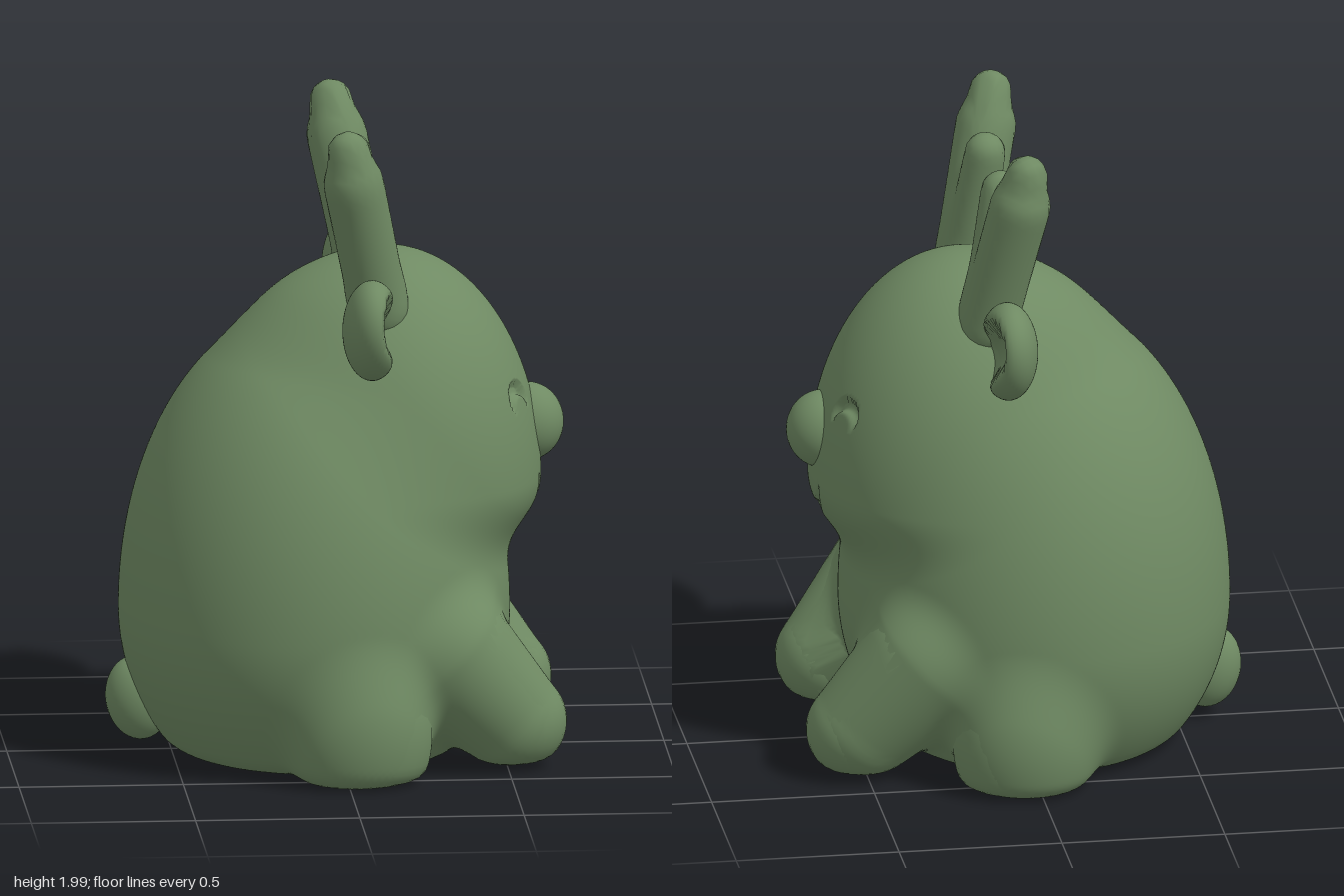
import * as THREE from 'three';
import { mergeVertices } from 'three/addons/utils/BufferGeometryUtils.js';

const V = (x, y, z) => new THREE.Vector3(x, y, z);
const FLOOR = 0.008;

// Distance fields used as modelling rules
function smin(a, b, k) {
  const h = Math.max(k - Math.abs(a - b), 0) / k;
  return Math.min(a, b) - h * h * k / 4;
}
const smax = (a, b, k) => -smin(-a, -b, k);

function ellipsoid(dx, dy, dz, rx, ry, rz) {
  const k0 = Math.hypot(dx / rx, dy / ry, dz / rz);
  const k1 = Math.hypot(dx / rx / rx, dy / ry / ry, dz / rz / rz);
  return k1 < 1e-6 ? -Math.min(rx, ry, rz) : k0 * (k0 - 1) / k1;
}

// Capsule whose radius runs from ra to rb
function limb(p, a, b, ra, rb) {
  const bx = b.x - a.x, by = b.y - a.y, bz = b.z - a.z;
  const px = p.x - a.x, py = p.y - a.y, pz = p.z - a.z;
  const h = THREE.MathUtils.clamp((px * bx + py * by + pz * bz) / (bx * bx + by * by + bz * bz), 0, 1);
  return Math.hypot(px - bx * h, py - by * h, pz - bz * h) - ra - (rb - ra) * h;
}

// Pull the vertices of a sphere onto the field; rings crowd towards the pole by `crowd`
function blob(field, center, segs, rings, pole = V(0, 1, 0), crowd = 0) {
  let g = new THREE.SphereGeometry(1, segs, rings);
  const pos = g.attributes.position, dir = V(0, 0, 0), p = V(0, 0, 0);
  const turn = new THREE.Quaternion().setFromUnitVectors(V(0, 1, 0), pole.clone().normalize());
  for (let i = 0; i < pos.count; i++) {
    dir.fromBufferAttribute(pos, i);
    const t = Math.acos(THREE.MathUtils.clamp(dir.y, -1, 1)) / Math.PI;
    const theta = Math.PI * t * (1 - crowd + crowd * t);
    const az = Math.atan2(dir.z, dir.x);
    dir.set(Math.sin(theta) * Math.cos(az), Math.cos(theta), Math.sin(theta) * Math.sin(az)).applyQuaternion(turn);
    let r = 1.5;
    for (let n = 0; n < 70; n++) {
      const d = field(p.copy(dir).multiplyScalar(r).add(center));
      r -= 0.6 * d;
      if (Math.abs(d) < 1e-5) break;
    }
    p.copy(dir).multiplyScalar(r).add(center);
    pos.setXYZ(i, p.x, p.y, p.z);
  }
  g.deleteAttribute('uv');
  g.deleteAttribute('normal');
  g = mergeVertices(g, 1e-5);
  g.computeVertexNormals();
  return g;
}

// Legs (s = side of the body): broad shoulder running down to the foot, and a rounded haunch
const frontLeg = (p, s) => limb(p, V(0.3, 0.38, 0.355 * s), V(0.505, 0.16, 0.315 * s), 0.21, 0.165);
const hindLeg = (p, s) => ellipsoid(p.x - 0.03, p.y - 0.17, p.z - 0.5 * s, 0.22, 0.29, 0.19);

// Closed happy eyes and smile as crescents in the y-z plane
function crescent(y, z, yOut, rOut, yIn, rIn) {
  return Math.max(Math.hypot(y - yOut, z) - rOut, rIn - Math.hypot(y - yIn, z));
}
function faceGroove(p) {
  if (p.x < 0.3) return 0;
  const eye = crescent(p.y, Math.abs(p.z) - 0.19, 1.118, 0.053, 1.086, 0.046);
  const mouth = crescent(p.y, p.z, 0.85, 0.104, 0.89, 0.108);
  return 0.018 * THREE.MathUtils.smoothstep(-Math.min(eye, mouth), -0.006, 0.008);
}

function bodyField(p) {
  const s = p.z < 0 ? -1 : 1;
  const torso = ellipsoid(p.x + 0.065, p.y - 0.45, p.z, 0.595, p.y > 0.45 ? 0.93 : 0.63, 0.642);
  const nape = ellipsoid(p.x - 0.02, p.y - 1.1, p.z, 0.37, 0.4, 0.34);
  const head = ellipsoid(p.x - 0.15, p.y - 0.86, p.z, 0.475, p.y > 0.86 ? 0.7 : 0.3, 0.48);
  let d = smin(smin(torso, nape, 0.06), head, 0.08);
  d = smin(d, frontLeg(p, s), 0.07);
  d = smin(d, hindLeg(p, s), 0.07);
  d += faceGroove(p);
  return smax(d, FLOOR - p.y, 0.06);
}

// Hooves: the leg shape shrunk a little and pushed out along (nx, ny) so only the toe shows
function hoofField(leg, s, nx, ny) {
  const q = V(0, 0, 0);
  return p => {
    q.set(p.x - 0.025 * nx, p.y - 0.025 * ny, p.z);
    return smax(leg(q, s) + 0.012, FLOOR + 0.006 - p.y, 0.05);
  };
}

// Two-pronged antler with a swollen main beam
function antlerField(s) {
  const root = V(0.115, 1.42, 0.25 * s);
  return p => {
    const beam = smin(limb(p, root, V(0.03, 1.83, 0.35 * s), 0.085, 0.092),
      limb(p, root, V(0.013, 1.935, 0.366 * s), 0.08, 0.065), 0.03);
    return smin(beam, limb(p, V(0.105, 1.48, 0.215 * s), V(0.06, 1.815, 0.163 * s), 0.075, 0.062), 0.05);
  };
}

// Cupped ear, tilted outwards, hollow towards the face
function earField(s) {
  return p => {
    const dy = p.y - 1.395, dz = p.z * s - 0.43;
    const shell = ellipsoid(p.x - 0.08, (dy + dz) * Math.SQRT1_2, (dy - dz) * Math.SQRT1_2, 0.09, 0.172, 0.145);
    const hollow = limb(p, V(0.185, 1.355, 0.38 * s), V(0.165, 1.425, 0.495 * s), 0.088, 0.082);
    return smax(shell, -hollow, 0.04);
  };
}

export function createModel() {
  const root = new THREE.Group();
  const material = new THREE.MeshStandardMaterial({ color: 0x6f8a63 });
  const add = (name, geometry) => {
    const mesh = new THREE.Mesh(geometry, material);
    mesh.name = name;
    root.add(mesh);
    return mesh;
  };

  // Torso, head and legs as one soft skin, densest at the face
  add('body', blob(bodyField, V(0, 0.5, 0), 288, 190, V(0.6, 0.5, 0), 0.55));

  // Nose and tail
  const nose = add('nose', new THREE.SphereGeometry(1, 40, 28));
  nose.scale.set(0.112, 0.12, 0.11);
  nose.position.set(0.583, 1.01, 0);
  const tail = add('tail', new THREE.SphereGeometry(1, 32, 24));
  tail.scale.set(0.1, 0.13, 0.085);
  tail.position.set(-0.6, 0.17, 0);
  tail.rotation.z = 0.15;

  // Paired parts
  for (const s of [1, -1]) {
    const side = s > 0 ? 'Left' : 'Right';
    add('antler' + side, blob(antlerField(s), V(0.085, 1.62, 0.25 * s), 48, 48));
    add('ear' + side, blob(earField(s), V(0.05, 1.395, 0.43 * s), 56, 44, V(1, 0, 0)));
    add('frontHoof' + side, blob(hoofField(frontLeg, s, 0.93, -0.37), V(0.5, 0.16, 0.315 * s), 36, 28));
    add('hindHoof' + side, blob(hoofField(hindLeg, s, 0.82, -0.57), V(0.06, 0.16, 0.5 * s), 36, 28));
  }
  return root;
}
